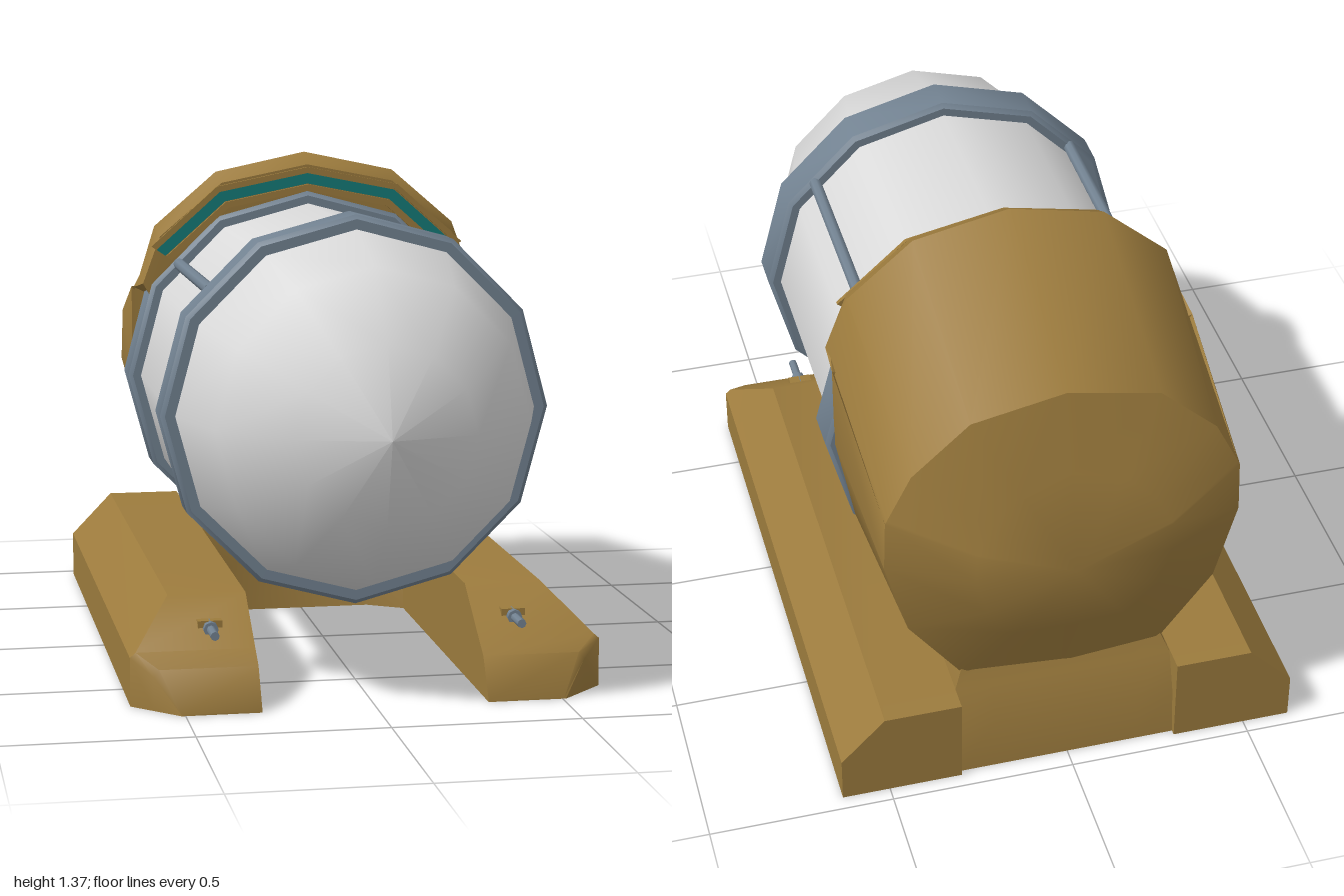
import * as THREE from 'three';
import { toCreasedNormals } from 'three/addons/utils/BufferGeometryUtils.js';

const CY = 0.735; // height of the tank axis

// Skin over rings of equal point count; points run counter-clockwise about the loft direction
function loft(rings, crease, apex) {
  const n = rings[0].length, pos = rings.flat(2), idx = [];
  for (let r = 0; r < rings.length - 1; r++) {
    for (let i = 0; i < n; i++) {
      const a = r * n + i, b = r * n + (i + 1) % n;
      idx.push(a, b, b + n, a, b + n, a + n);
    }
  }
  const centre = ring => [0, 1, 2].map(k => ring.reduce((s, p) => s + p[k], 0) / n);
  const last = (rings.length - 1) * n, c0 = rings.length * n;
  pos.push(...(apex || centre(rings[0])), ...centre(rings[rings.length - 1]));
  for (let i = 0; i < n; i++) {
    const j = (i + 1) % n;
    idx.push(c0, j, i, c0 + 1, last + i, last + j);
  }
  const g = new THREE.BufferGeometry();
  g.setAttribute('position', new THREE.Float32BufferAttribute(pos, 3));
  g.setIndex(idx);
  return toCreasedNormals(g, crease);
}

// Twelve-sided turned part along z; profile is [radius, z] with z rising
function turned(profile, crease) {
  const g = new THREE.LatheGeometry(profile.map(p => new THREE.Vector2(...p)), 12);
  g.rotateX(Math.PI / 2).translate(0, CY, 0);
  return crease ? toCreasedNormals(g, crease) : g;
}

// Half outline from top to bottom on +x, mirrored to a full ring
function mirrorRing(half) {
  const left = half.map(([x, y, z]) => [-x, y, z]);
  return [...left, ...half.slice(1, -1).reverse()];
}

// Faceted arch strip between two radii
function archShape(inner, outer) {
  const arc = [[-0.86, 0.58], [-0.5, 0.9], [0, 1], [0.5, 0.9], [0.86, 0.58]];
  const at = r => arc.map(([x, y]) => new THREE.Vector2(x * r, 0.8 + y * r));
  return new THREE.Shape([...at(inner), ...at(outer).reverse()]);
}

export function createModel() {
  const group = new THREE.Group();
  const material = (name, color, side = THREE.FrontSide) => {
    const m = new THREE.MeshStandardMaterial({ color, side });
    m.name = name;
    return m;
  };
  const ochre = material('ochre hull', 0x9c7b3d, THREE.DoubleSide);
  const white = material('white tank', 0xdadada);
  const steel = material('steel blue', 0x728291);
  const teal = material('teal glass', 0x157a78, THREE.DoubleSide);
  const add = (name, geometry, mat) => {
    const mesh = new THREE.Mesh(geometry, mat);
    mesh.name = name;
    group.add(mesh);
    return mesh;
  };

  // Tank and domed nose
  add('tank', turned([[0.49, -0.36], [0.49, 0.5]]), white);
  add('nose', turned([[0.49, 0.5], [0.415, 0.765], [0.235, 0.937], [0, 1]]), white);

  // Bevelled collars
  for (const [name, z0, z1] of [['frontCollar', 0.39, 0.515], ['rearCollar', -0.38, -0.242]]) {
    add(name, turned([[0.46, z0], [0.513, z0], [0.525, z0 + 0.012],
      [0.525, z1 - 0.012], [0.513, z1], [0.46, z1]], 0.6), steel);
  }

  // Rear hull with raised hood
  const rear = [[0, 1.18], [0.25, 1.13], [0.405, 0.99], [0.47, 0.86], [0.475, 0.85],
    [0.48, 0.7], [0.42, 0.48], [0.27, 0.28], [0, 0.24]].map(([x, y]) => [x, y, -0.865]);
  const tail = rear.map(([x, y]) =>
    [x * 0.55, 0.7 + (y - 0.7) * 0.55, -0.925 - 0.05 * (x / 0.48) ** 2]);
  const lower = [[0.5, 0.98], [0.5, 0.735], [0.45, 0.475], [0.26, 0.28], [0, 0.21]];
  const low = s => lower.map(([x, y]) => [x * s, CY + (y - CY) * s, -0.375]);
  const hood = (pts, z) => pts.map(([x, y]) => [x, y, z]);
  const crest = [...hood([[0, 1.37], [0.26, 1.315], [0.44, 1.16]], -0.31), [0.497, 0.99, -0.28], ...low(1)];
  const brow = [...hood([[0, 1.337], [0.25, 1.287], [0.43, 1.135], [0.48, 1.0]], -0.255), ...low(0.98)];
  const throat = [...hood([[0, 1.22], [0.24, 1.15], [0.41, 0.97], [0.44, 0.93]], -0.255), ...low(0.9)];
  add('rearHull', loft([tail, rear, crest, brow, throat].map(mirrorRing), 0.65, [0, 0.7, -1]), ochre);

  // Hood window and its two frame strips
  for (const [name, r0, r1] of [['upperWindowFrame', 0.515, 0.53], ['lowerWindowFrame', 0.462, 0.48]]) {
    const g = new THREE.ExtrudeGeometry(archShape(r0, r1), { depth: 0.012, bevelEnabled: false });
    add(name, g.translate(0, 0, -0.257), ochre);
  }
  add('window', new THREE.ShapeGeometry(archShape(0.482, 0.512)).translate(0, 0, -0.251), teal);

  // Pedestal joining hull and skids
  const layer = (y, w, front, mid, back) => [[0.2, mid], [w, front], [w, back], [0.2, back],
    [-0.2, back], [-w, back], [-w, front], [-0.2, mid]].map(([x, z]) => [x, y, z]);
  add('pedestal', loft([
    layer(0, 0.31, -0.3, -0.37, -0.945),
    layer(0.14, 0.31, -0.31, -0.38, -0.93),
    layer(0.25, 0.3, -0.36, -0.4, -0.89),
    layer(0.32, 0.27, -0.39, -0.41, -0.86),
    layer(0.42, 0.27, -0.4, -0.42, -0.84),
  ], 0.7), ochre);

  // Mirrored skids, guns and rails
  const section = (z, pts) => pts.map(([x, y]) => [x, y, z]);
  const full = [[0.3, 0], [0.63, 0], [0.63, 0.13], [0.51, 0.255], [0.3, 0.255]];
  const skid = [
    section(-0.96, full),
    section(0.51, full),
    section(0.68, [[0.3, 0], [0.63, 0], [0.63, 0.13], [0.615, 0.143], [0.3, 0.143]]),
    section(0.735, [[0.3, 0], [0.575, 0], [0.575, 0.09], [0.56, 0.108], [0.3, 0.108]]),
    section(0.8, [[0.3, 0], [0.51, 0], [0.51, 0.002], [0.505, 0.004], [0.3, 0.004]]),
  ];
  for (const s of [1, -1]) {
    const side = s > 0 ? 'left' : 'right';
    const rings = s > 0 ? skid : skid.map(r => r.map(([x, y, z]) => [-x, y, z]).reverse());
    add(side + 'Skid', loft(rings, 0.7), ochre);

    const rod = (name, r, z0, z1, x, y) => {
      const g = new THREE.CylinderGeometry(r, r, z1 - z0, 8).rotateX(Math.PI / 2);
      add(side + name, g.translate(s * x, y, (z0 + z1) / 2), steel);
    };
    rod('Rail', 0.017, -0.26, 0.4, 0.375, 1.055);
    rod('GunBarrel', 0.012, 0.58, 0.71, 0.41, 0.185);
    rod('GunSleeve', 0.02, 0.58, 0.635, 0.41, 0.185);
    const mount = new THREE.BoxGeometry(0.065, 0.045, 0.06);
    add(side + 'GunMount', mount.translate(s * 0.41, 0.182, 0.585), ochre);
  }
  return group;
}
